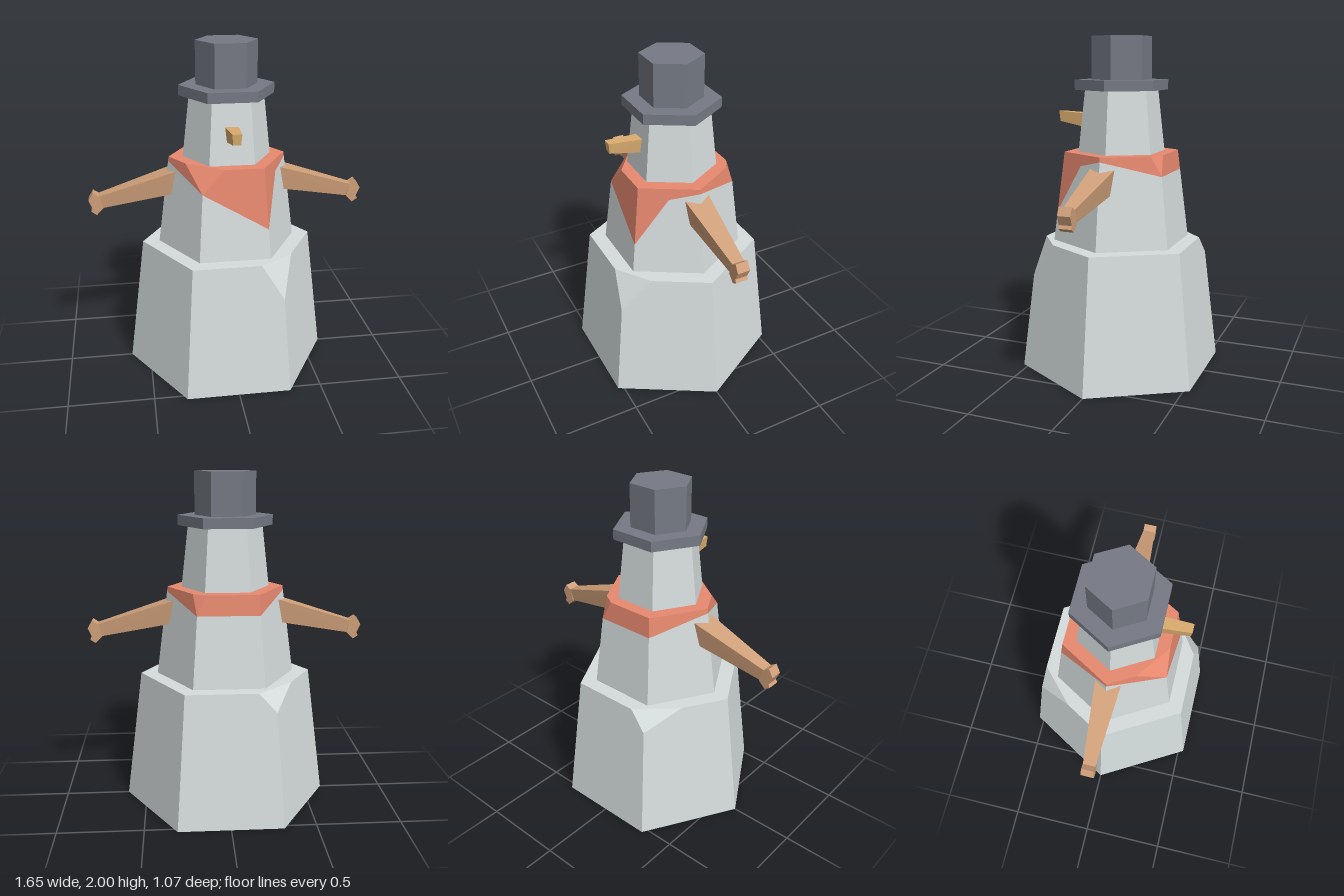
import * as THREE from 'three';
import { ConvexGeometry } from 'three/addons/geometries/ConvexGeometry.js';

const material = (color) => new THREE.MeshStandardMaterial({ color, flatShading: true });
const snow = material(0xd6dddd);
const hatGrey = material(0x767a84);
const red = material(0xe8896f);
const wood = material(0xd0a07a);
const carrot = material(0xdcae70);

function mesh(name, geometry, mat) {
  const m = new THREE.Mesh(geometry, mat);
  m.name = name;
  return m;
}

// Hexagonal frustum with corners on the x axis
function hexBlock(name, rBottom, rTop, y0, y1, mat) {
  const g = new THREE.CylinderGeometry(rTop, rBottom, y1 - y0, 6, 1, false, Math.PI / 2);
  g.translate(0, (y0 + y1) / 2, 0);
  return mesh(name, g, mat);
}

// Solid built from flat polygons, each split as a fan from its first corner
function polygonGeometry(polygons) {
  const pos = [];
  for (const p of polygons) {
    for (let i = 1; i < p.length - 1; i++) {
      for (const v of [p[0], p[i], p[i + 1]]) pos.push(v.x, v.y, v.z);
    }
  }
  const g = new THREE.BufferGeometry();
  g.setAttribute('position', new THREE.Float32BufferAttribute(pos, 3));
  g.computeVertexNormals();
  return g;
}

// Point on corner k of a tapering hexagon at height y
function cornerPoint(taper, k, y) {
  const r = THREE.MathUtils.mapLinear(y, taper.y0, taper.y1, taper.r0, taper.r1);
  const a = (k % 6) * Math.PI / 3;
  return new THREE.Vector3(r * Math.cos(a), y, r * Math.sin(a));
}

// Six sides between a lower and an upper outline, with cut-off top corners.
// chips: corner -> { prev, next: share of the top edges cut, y: lowest point }
// lowMid / highMid: extra heights halfway along a side
function hexShell(taper, low, high, { chips = {}, lowMid = {}, highMid = {}, top = false, bottom = false }) {
  const at = (k, y) => cornerPoint(taper, k, y);
  const polygons = [];
  const rim = [];
  const middle = (i, y) => at(i, y).lerp(at(i + 1, y), 0.5);
  for (let i = 0; i < 6; i++) {
    const j = (i + 1) % 6;
    const a = at(i, high[i]);
    const b = at(j, high[j]);
    const start = chips[i] ? a.clone().lerp(b, chips[i].next) : a;
    const end = chips[j] ? b.clone().lerp(a, chips[j].prev) : b;
    const face = [];
    if (lowMid[i]) face.push(middle(i, lowMid[i]));
    const side = [at(i, low[i])];
    if (chips[i] && chips[i].y > low[i]) side.push(at(i, chips[i].y));
    side.push(start);
    if (highMid[i]) side.push(middle(i, highMid[i]));
    side.push(end);
    if (chips[j] && chips[j].y > low[j]) side.push(at(j, chips[j].y));
    side.push(at(j, low[j]));
    polygons.push([...face, ...side]);
    if (chips[i]) {
      const before = a.clone().lerp(at(i + 5, high[(i + 5) % 6]), chips[i].prev);
      polygons.push([before, at(i, chips[i].y), start]);
      rim.push(before);
    }
    rim.push(start);
  }
  // Sides run clockwise from above, so the top is reversed
  for (const p of polygons) if (p.length > 3) orientOutward(p);
  for (const p of polygons) if (p.length === 3) orientOutward(p);
  if (top) polygons.push(rim.reverse());
  if (bottom) polygons.push([0, 1, 2, 3, 4, 5].map((k) => at(k, low[k])));
  return polygonGeometry(polygons);
}

// Turn a side polygon so that it faces away from the vertical axis
function orientOutward(p) {
  const centre = new THREE.Vector3();
  const normal = new THREE.Vector3();
  p.forEach((v, i) => {
    centre.add(v);
    normal.add(v.clone().cross(p[(i + 1) % p.length]));
  });
  if (normal.x * centre.x + normal.z * centre.z < 0) p.reverse().unshift(p.pop());
}

// Eight-cornered tapering bar; each end is four points
const bar = (points) => new ConvexGeometry(points.map((p) => new THREE.Vector3(...p)));

function makeArm(name) {
  const arm = new THREE.Group();
  arm.name = name;
  const points = [];
  for (const s of [-1, 1]) {
    points.push([0.31, 1.255, s * 0.075], [0.31, 1.115, s * 0.06]);
    points.push([0.765, 1.11, s * 0.036], [0.745, 1.035, s * 0.03]);
  }
  arm.add(mesh('armBranch', bar(points), wood));

  // Forked hand
  const outline = [[0.74, 1.035], [0.78, 0.996], [0.812, 1.017], [0.802, 1.035],
    [0.824, 1.086], [0.797, 1.132], [0.755, 1.105]];
  const shape = new THREE.Shape(outline.map(([x, y]) => new THREE.Vector2(x, y)));
  const hand = new THREE.ExtrudeGeometry(shape, { depth: 0.074, bevelEnabled: false });
  hand.translate(0, 0, -0.037);
  arm.add(mesh('hand', hand, wood));
  return arm;
}

export function createModel() {
  const model = new THREE.Group();
  model.name = 'snowman';

  // Lower body with two chipped corners
  const baseTaper = { y0: 0, y1: 0.793, r0: 0.617, r1: 0.515 };
  model.add(mesh('lowerBody', hexShell(baseTaper, Array(6).fill(0), Array(6).fill(0.793), {
    chips: { 1: { prev: 0.32, next: 0.23, y: 0.58 }, 4: { prev: 0.44, next: 0.19, y: 0.68 } },
    top: true, bottom: true,
  }), snow));

  // Torso, meeting the scarf along a slanted line
  const torsoTaper = { y0: 0.793, y1: 1.327, r0: 0.415, r1: 0.345 };
  const scarfLine = [1.3, 0.97, 1.19, 1.3, 1.21, 1.21];
  model.add(mesh('torso', hexShell(torsoTaper, Array(6).fill(0.793), scarfLine,
    { highMid: { 0: 1.26 } }), snow));

  // Scarf, flush with the torso
  model.add(mesh('scarf', hexShell(torsoTaper, scarfLine, Array(6).fill(1.327), {
    lowMid: { 0: 1.26 },
    chips: { 2: { prev: 0.35, next: 0.5, y: 1.19 }, 5: { prev: 0.15, next: 0.16, y: 1.21 } },
    top: true,
  }), red));

  // Head and hat
  model.add(hexBlock('head', 0.262, 0.22, 1.32, 1.69, snow));
  model.add(hexBlock('hatBrim', 0.28, 0.28, 1.69, 1.75, hatGrey));
  model.add(hexBlock('hatCrown', 0.18, 0.18, 1.75, 2, hatGrey));

  // Nose
  const nosePoints = [];
  for (const s of [-1, 1]) {
    nosePoints.push([s * 0.039, 1.545, 0.18], [s * 0.03, 1.455, 0.18]);
    nosePoints.push([s * 0.027, 1.557, 0.4], [s * 0.022, 1.495, 0.395]);
  }
  model.add(mesh('nose', bar(nosePoints), carrot));

  // Arms
  const leftArm = makeArm('leftArm');
  const rightArm = makeArm('rightArm');
  rightArm.rotation.y = Math.PI;
  model.add(leftArm, rightArm);
  return model;
}
